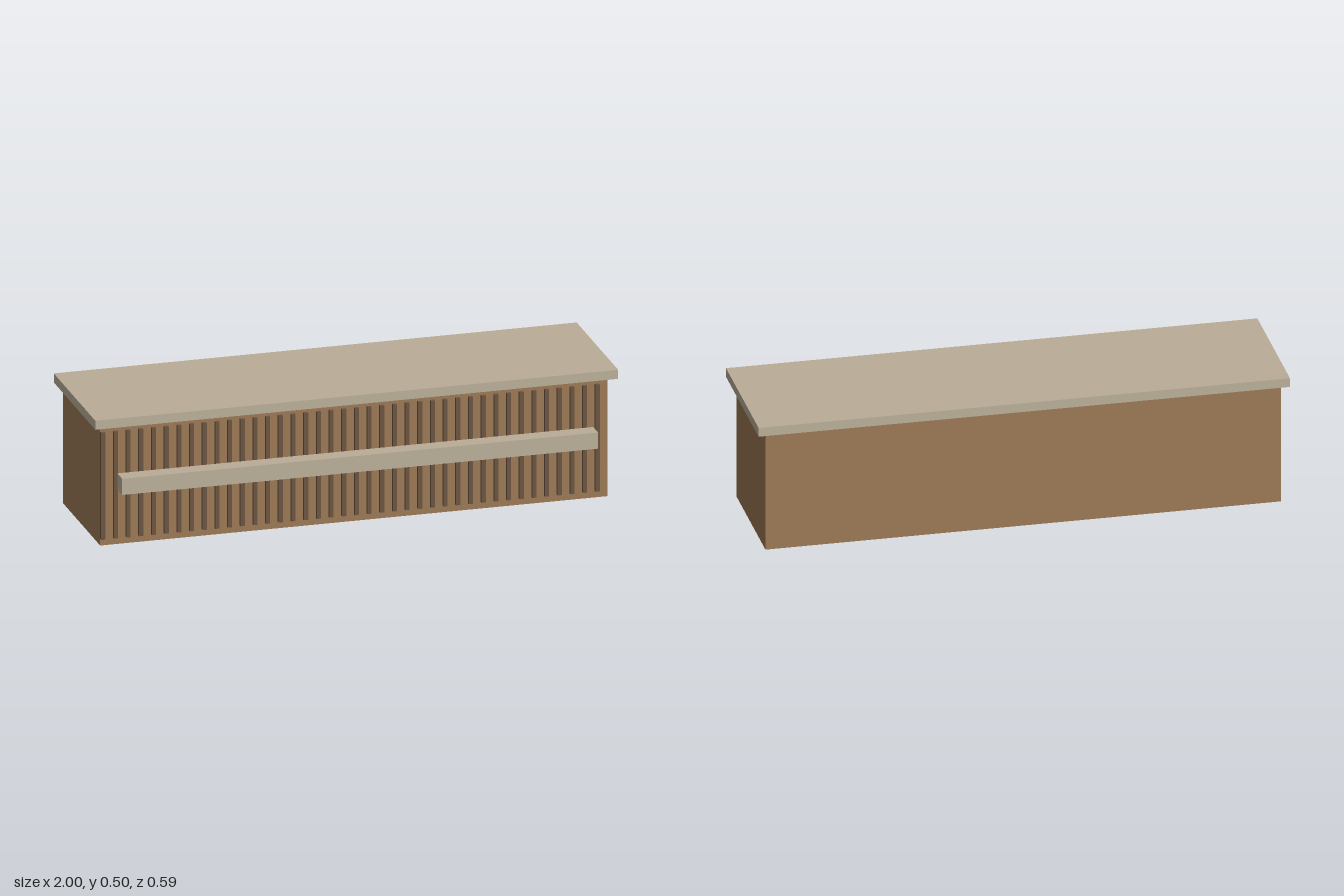
import * as THREE from 'three';

const wood = new THREE.MeshStandardMaterial({ color: 0x9b7955 });
const darkWood = new THREE.MeshStandardMaterial({ color: 0x6b5440 });
const stone = new THREE.MeshStandardMaterial({ color: 0xbaae99 });

// Box given by its centre x, width, and its y and z ranges
function box(name, material, x, width, [y0, y1], [z0, z1]) {
  const mesh = new THREE.Mesh(new THREE.BoxGeometry(width, y1 - y0, z1 - z0), material);
  mesh.name = name;
  mesh.position.set(x, (y0 + y1) / 2, (z0 + z1) / 2);
  return mesh;
}

export function createModel() {
  const counter = new THREE.Group();
  counter.name = 'counter';

  // Cabinet body and the overhanging top, with a thin shadow gap between
  counter.add(box('body', wood, 0, 1.94, [0, 0.461], [-0.274, 0.212]));
  counter.add(box('countertop', stone, 0, 2, [0.467, 0.502], [-0.293, 0.251]));

  // Evenly spaced vertical slats on the front
  const slats = new THREE.Group();
  slats.name = 'frontSlats';
  const count = 40, pitch = 0.0485;
  for (let i = 0; i < count; i++) {
    slats.add(box('slat', darkWood, -0.962 + i * pitch, 0.016, [0.026, 0.442], [0.2, 0.225]));
  }
  counter.add(slats);

  // Square rail floating just in front of the slats
  counter.add(box('frontRail', stone, 0, 1.82, [0.219, 0.282], [0.232, 0.295]));
  return counter;
}
